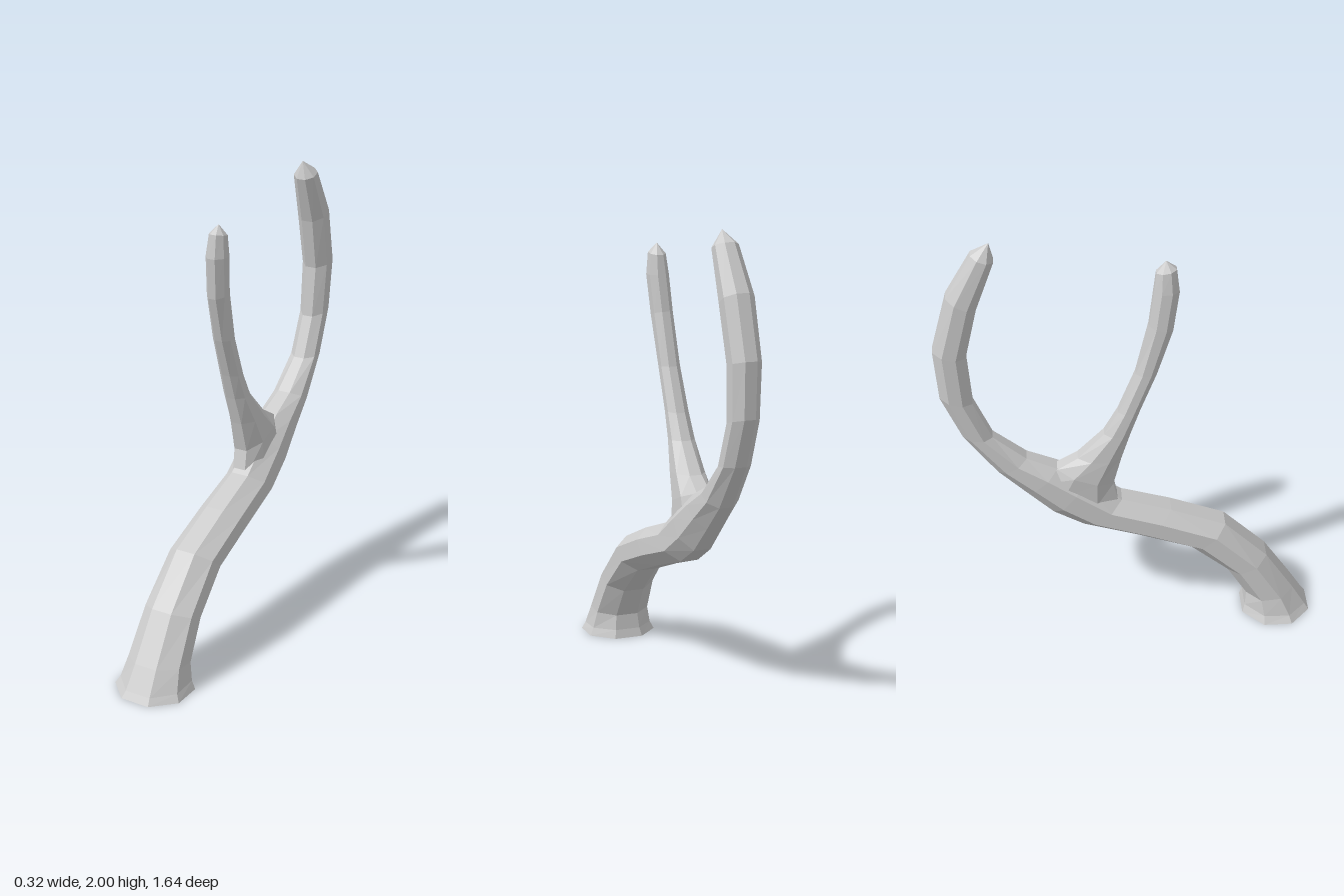
import * as THREE from 'three';

const SIDES = 8;

// Faceted limb from eight-sided sections: [inner z, inner y, outer z, outer y, min x, max x],
// closed by a flat start cap and a point at the tip.
function limb(name, sections, tip, material) {
  const pos = [], index = [];
  const k = 1 / Math.cos(Math.PI / SIDES);
  for (const [z0, y0, z1, y1, x0, x1] of sections) {
    for (let i = 0; i < SIDES; i++) {
      const a = ((i + 0.5) / SIDES) * Math.PI * 2;
      const c = (Math.cos(a) * k) / 2, s = (Math.sin(a) * k) / 2;
      pos.push(
        (x0 + x1) / 2 + s * (x1 - x0),
        (y0 + y1) / 2 + c * (y0 - y1),
        (z0 + z1) / 2 + c * (z0 - z1)
      );
    }
  }
  const [z0, y0, z1, y1, x0, x1] = sections[0];
  const last = (sections.length - 1) * SIDES;
  const start = last + SIDES, end = start + 1;
  pos.push((x0 + x1) / 2, (y0 + y1) / 2, (z0 + z1) / 2, ...tip);
  for (let i = 0; i < SIDES; i++) {
    const j = (i + 1) % SIDES;
    for (let r = 0; r < last; r += SIDES) {
      const a = r + i, b = r + j;
      index.push(a, b, b + SIDES, a, b + SIDES, a + SIDES);
    }
    index.push(start, j, i, last + i, last + j, end);
  }
  const geo = new THREE.BufferGeometry();
  geo.setAttribute('position', new THREE.Float32BufferAttribute(pos, 3));
  geo.setIndex(index);
  geo.computeVertexNormals();
  const mesh = new THREE.Mesh(geo, material);
  mesh.name = name;
  return mesh;
}

export function createModel() {
  const group = new THREE.Group();
  group.name = 'antler';
  const material = new THREE.MeshStandardMaterial({ color: 0xcccccc, flatShading: true });

  // Main beam: flared foot, long S-bend, rear prong
  const beam = [
    [0.82, 0, 0.51, 0, -0.16, 0.16],
    [0.8, 0.03, 0.52, 0.04, -0.14, 0.145],
    [0.74, 0.13, 0.525, 0.11, -0.122, 0.13],
    [0.61, 0.33, 0.435, 0.255, -0.112, 0.118],
    [0.415, 0.525, 0.265, 0.4, -0.106, 0.108],
    [0.17, 0.625, 0.02, 0.49, -0.106, 0.1],
    [-0.05, 0.7, -0.22, 0.57, -0.106, 0.088],
    [-0.21, 0.82, -0.35, 0.65, -0.106, 0.078],
    [-0.33, 0.89, -0.47, 0.77, -0.1, 0.064],
    [-0.46, 0.95, -0.585, 0.885, -0.09, 0.052],
    [-0.6, 1.07, -0.725, 1.08, -0.08, 0.04],
    [-0.675, 1.25, -0.81, 1.285, -0.078, 0.038],
    [-0.69, 1.48, -0.825, 1.515, -0.078, 0.046],
    [-0.635, 1.71, -0.755, 1.77, -0.074, 0.056],
    [-0.555, 1.92, -0.645, 1.955, -0.05, 0.05],
  ];
  group.add(limb('mainBeam', beam, [0, 2, -0.57], material));

  // Front tine: wide root sunk into the beam, tapering upward
  const tine = [
    [-0.06, 0.67, -0.4, 0.81, -0.095, 0.05],
    [-0.088, 0.8, -0.33, 0.89, -0.102, 0.046],
    [-0.052, 0.94, -0.24, 0.945, -0.094, 0.036],
    [-0.012, 1.07, -0.125, 1.07, -0.085, 0.02],
    [0.03, 1.19, -0.065, 1.18, -0.078, 0.016],
    [0.1, 1.37, 0.01, 1.37, -0.068, 0.018],
    [0.165, 1.575, 0.065, 1.6, -0.058, 0.028],
    [0.19, 1.755, 0.085, 1.755, -0.048, 0.04],
    [0.178, 1.855, 0.095, 1.84, -0.035, 0.034],
  ];
  group.add(limb('frontTine', tine, [0, 1.89, 0.135], material));

  return group;
}
